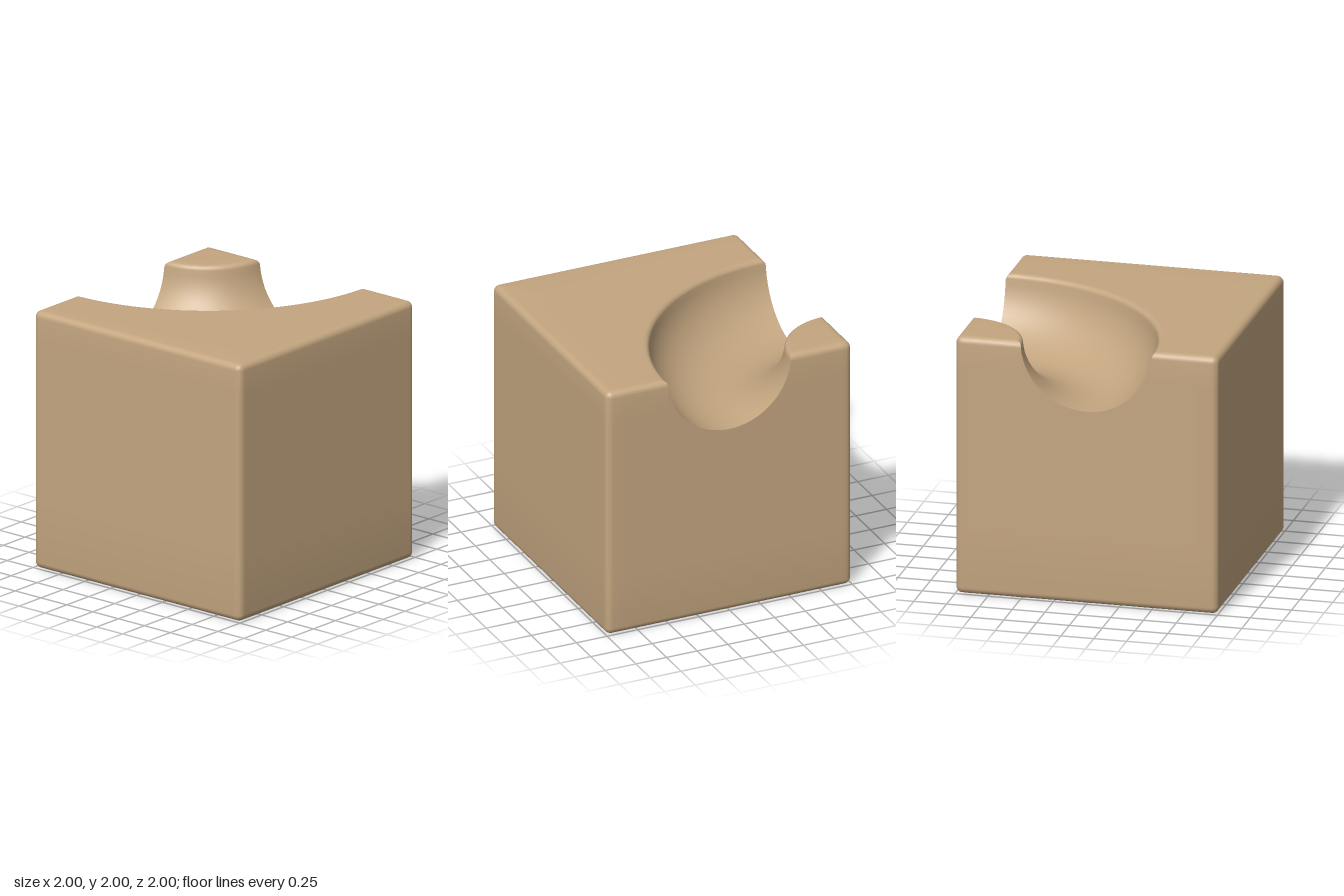
import * as THREE from 'three';
import { mergeGeometries, toCreasedNormals } from 'three/addons/utils/BufferGeometryUtils.js';

const BEVEL = 0.05;   // rounding of the cube edges
const LIP = 0.04;     // rounding of the channel rims
const CHANNEL = 0.5;  // radius of the half-round channel
const TOP = 2;

// Offsets from a sharp edge that give even steps around the rounded edge
const EDGE = [0, 15, 30, 45].map(a => BEVEL * (1 - Math.tan(THREE.MathUtils.degToRad(a))));
const EDGE_OUT = [...EDGE].reverse(); // from the edge inwards

// Pull a point of the sharp cube back onto the rounded cube
function roundOff(p) {
  const k = 1 - BEVEL;
  const q = new THREE.Vector3(
    THREE.MathUtils.clamp(p.x, -k, k),
    THREE.MathUtils.clamp(p.y, BEVEL, TOP - BEVEL),
    THREE.MathUtils.clamp(p.z, -k, k));
  const d = p.clone().sub(q);
  return q.add(d.clampLength(0, BEVEL));
}

// Skin a grid of points: rows[i][j]
function skin(rows, flip = false) {
  const pos = [];
  const tri = (a, b, c) => {
    const area = b.clone().sub(a).cross(c.clone().sub(a)).length();
    if (area < 1e-9) return;
    for (const v of flip ? [a, c, b] : [a, b, c]) pos.push(v.x, v.y, v.z);
  };
  for (let i = 0; i < rows.length - 1; i++) {
    for (let j = 0; j < rows[i].length - 1; j++) {
      const a = rows[i][j], b = rows[i + 1][j], c = rows[i + 1][j + 1], d = rows[i][j + 1];
      tri(a, b, c);
      tri(a, c, d);
    }
  }
  const g = new THREE.BufferGeometry();
  g.setAttribute('position', new THREE.Float32BufferAttribute(pos, 3));
  return g;
}

// Channel section [radius, height], from the inner rim to the outer rim
function channelProfile() {
  const reach = Math.sqrt((CHANNEL + LIP) ** 2 - LIP ** 2);
  const tilt = Math.asin(LIP / (CHANNEL + LIP));
  const rim = [];
  for (let i = 0; i <= 6; i++) {
    const a = Math.PI - tilt - (Math.PI / 2 - tilt) * i / 6;
    rim.push([1 + reach + LIP * Math.cos(a), TOP - LIP + LIP * Math.sin(a)]);
  }
  const bowl = [];
  for (let i = 1; i < 32; i++) {
    const a = Math.PI + tilt + (Math.PI - 2 * tilt) * i / 32;
    bowl.push([1 + CHANNEL * Math.cos(a), TOP + CHANNEL * Math.sin(a)]);
  }
  const innerRim = rim.map(([r, y]) => [2 - r, y]).reverse();
  return [...innerRim, ...bowl, ...rim];
}

// Top section along one ray from the corner post to the cube's far side
function topProfile(s) {
  const reach = 2 / s;
  const start = 1.56;
  const post = [...EDGE_OUT, 0.09, 0.16, 0.25, 0.36].map(r => [r, TOP]);
  const end = reach - BEVEL / s;
  const deck = [0, 0.33, 0.67].map(t => [start + (end - start) * t, TOP]);
  return [...post, ...channelProfile(), ...deck, ...EDGE.map(e => [reach - e / s, TOP])];
}

const LEVELS = [...EDGE_OUT, 0.5, 1, 1.5, 1.75, ...EDGE.map(e => TOP - e)];

// Top, far walls and underside, swept around the back right corner
function sweptSkin() {
  const half = [0, 0.3, 0.6, 0.9, 1.2, 1.6, 2, 2.5, 3, 4, 5, 6.5, 8];
  for (let a = 10; a <= 42; a += 2) half.push(a);
  half.push(43, 43.7, 44, 44.25, 44.5, 44.75);
  const angles = [...half, 45, ...half.map(a => 90 - a).reverse()];
  return skin(angles.map(deg => {
    const a = THREE.MathUtils.degToRad(deg);
    const c = Math.cos(a), n = Math.sin(a), s = Math.max(c, n);
    const reach = 2 / s;
    const wall = [...LEVELS].reverse().slice(1).map(y => [reach, y]);
    const under = [...EDGE_OUT.slice(1).map(e => reach - e / s),
      1.5, 1, 0.5, 0.25, 0.12, ...EDGE].map(r => [r, 0]);
    return [...topProfile(s), ...wall, ...under]
      .map(([r, y]) => roundOff(new THREE.Vector3(-1 + r * c, y, -1 + r * n)));
  }));
}

// Flat end face, cut out by the channel
function endFace(place, flip) {
  return skin(topProfile(1).map(([r, h]) =>
    LEVELS.map(y => roundOff(place(r, Math.min(y, h))))), flip);
}

export function createModel() {
  const sand = new THREE.MeshStandardMaterial({ color: 0xc4a680 });
  sand.name = 'sand';

  const shell = mergeGeometries([
    sweptSkin(),
    endFace((r, y) => new THREE.Vector3(-1 + r, y, -1), true),
    endFace((r, y) => new THREE.Vector3(-1, y, -1 + r), false),
  ]);
  const block = new THREE.Mesh(toCreasedNormals(shell, 0.7), sand);
  block.name = 'curvedChannelBlock';

  const group = new THREE.Group();
  group.name = 'channelCornerBlock';
  group.add(block);
  return group;
}
